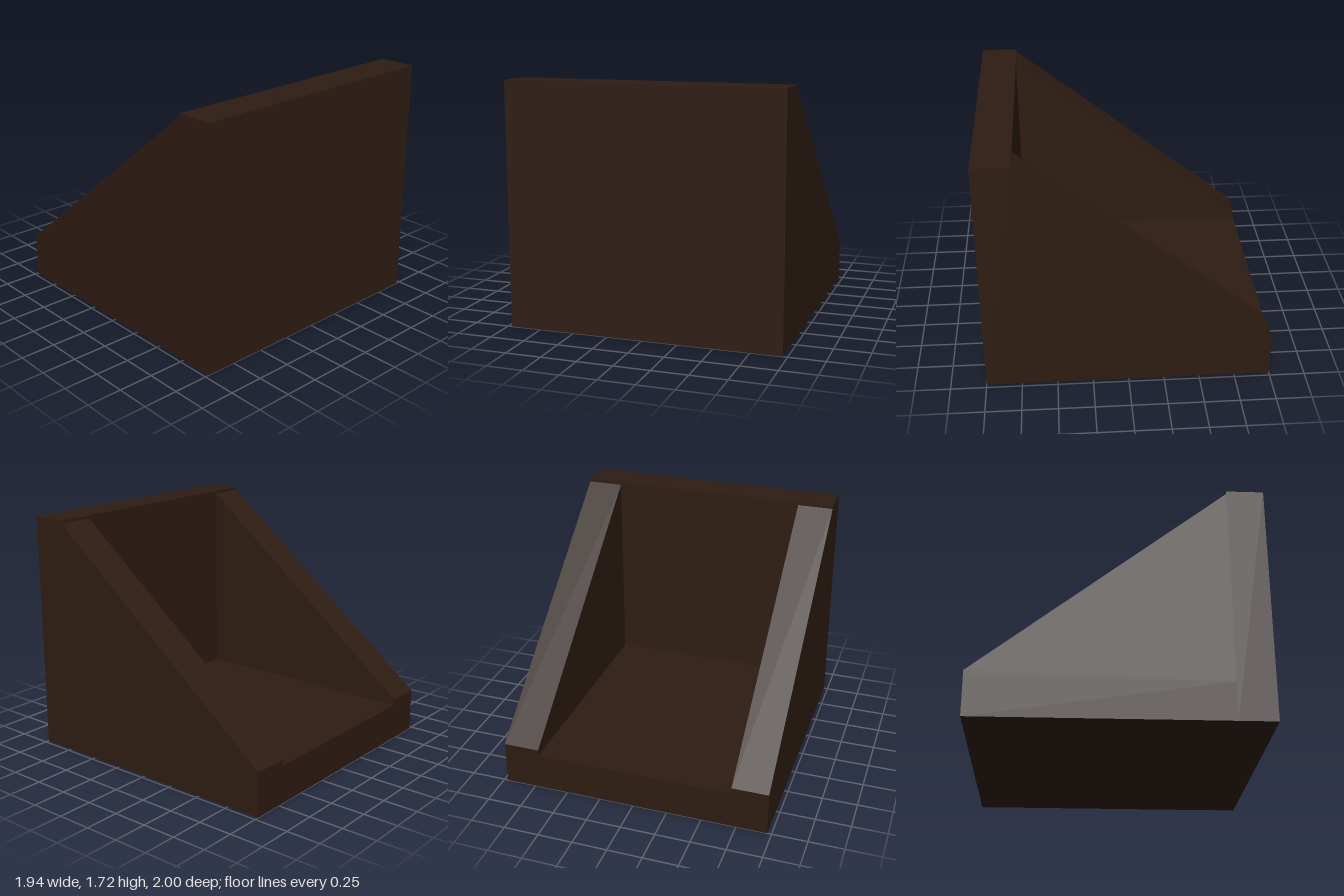
import * as THREE from 'three';

const HALF_W = 0.97, HEIGHT = 1.72, WALL = 0.26, BASE_H = 0.27;
const PLATE_Z = 0.74; // inner face of the upright plate

export function createModel() {
  const group = new THREE.Group();
  group.name = 'angleBracket';
  const material = new THREE.MeshStandardMaterial({ color: 0x2e1c12, flatShading: true });

  const add = (name, geometry, x, y, z) => {
    const mesh = new THREE.Mesh(geometry, material);
    mesh.name = name;
    mesh.position.set(x, y, z);
    group.add(mesh);
  };

  // Upright plate across the front
  add('uprightPlate', new THREE.BoxGeometry(2 * HALF_W, HEIGHT, 1 - PLATE_Z),
    0, HEIGHT / 2, (1 + PLATE_Z) / 2);

  // Flat base running back from the plate
  add('basePlate', new THREE.BoxGeometry(2 * HALF_W, BASE_H, 1 + PLATE_Z),
    0, BASE_H / 2, (PLATE_Z - 1) / 2);

  // Sloping side gussets; profile drawn in (-z, y) and extruded along x
  const profile = new THREE.Shape([
    new THREE.Vector2(-PLATE_Z, BASE_H),
    new THREE.Vector2(1, BASE_H),
    new THREE.Vector2(1, 0.315),
    new THREE.Vector2(-PLATE_Z, 1.7),
  ]);
  const gusset = new THREE.ExtrudeGeometry(profile, { depth: WALL, bevelEnabled: false });
  gusset.rotateY(Math.PI / 2);
  add('leftGusset', gusset, HALF_W - WALL, 0, 0);
  add('rightGusset', gusset, -HALF_W, 0, 0);

  return group;
}
